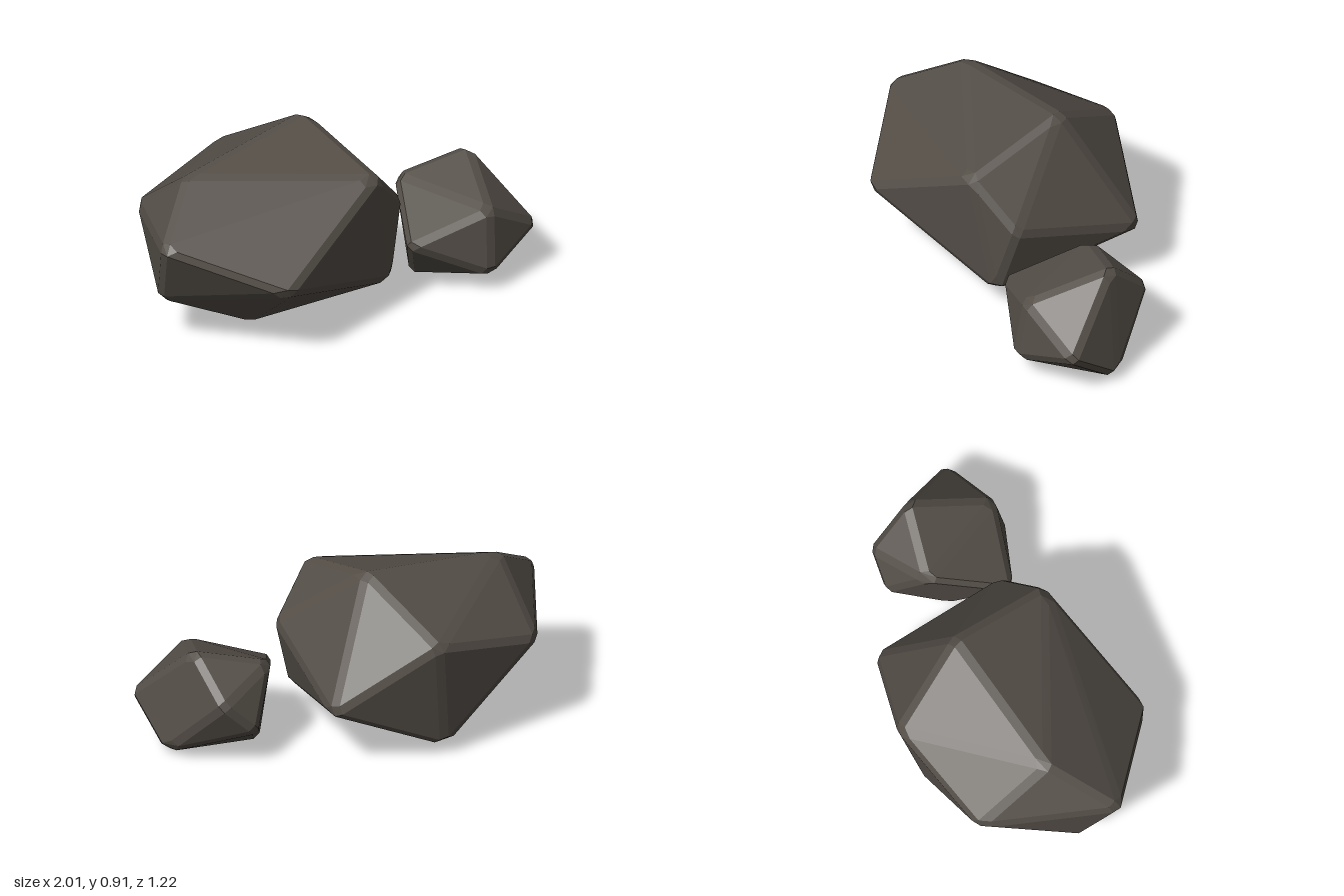
import * as THREE from 'three';
import { ConvexGeometry } from 'three/addons/geometries/ConvexGeometry.js';

const CHAMFER = 0.025;

// Convex rock from its main corners, with every edge and corner cut by a flat chamfer
function rockGeometry(corners) {
  const pts = corners.map((c) => new THREE.Vector3(...c));
  const centre = new THREE.Box3().setFromPoints(pts).getCenter(new THREE.Vector3());
  // push the corners out a little, as the chamfer takes off their tips
  for (const p of pts) p.addScaledVector(p.clone().sub(centre).normalize(), CHAMFER);

  // shrink each face within its own plane; the hull of the shrunk faces has chamfered edges
  const faces = new ConvexGeometry(pts).getAttribute('position');
  const cut = [];
  for (let i = 0; i < faces.count; i += 3) {
    const tri = [0, 1, 2].map((k) => new THREE.Vector3().fromBufferAttribute(faces, i + k));
    for (let k = 0; k < 3; k++) {
      const u = tri[(k + 1) % 3].clone().sub(tri[k]).normalize();
      const v = tri[(k + 2) % 3].clone().sub(tri[k]).normalize();
      const sine = Math.max(u.clone().cross(v).length(), 0.5);
      cut.push(tri[k].clone().addScaledVector(u.add(v), CHAMFER / sine));
    }
  }
  return new ConvexGeometry(cut);
}

export function createModel() {
  const group = new THREE.Group();
  group.name = 'rocks';
  const stone = new THREE.MeshStandardMaterial({ color: 0x544e47 });
  stone.name = 'dark stone';

  const rocks = {
    largeRock: [
      // top ridge
      [0.08, 0.89, -0.15], [-0.66, 0.79, -0.2], [0.05, 0.74, 0.38],
      // middle ring
      [-1, 0.58, -0.02], [-0.62, 0.38, 0.45], [0.29, 0.51, 0.3],
      [0.43, 0.32, -0.36], [-0.03, 0.64, -0.595], [-0.61, 0.51, -0.58],
      // underside
      [-0.87, 0.23, -0.17], [-0.48, 0.055, 0.04], [0.18, 0.14, 0.34], [-0.12, 0.06, -0.51],
    ],
    smallRock: [
      // top
      [0.87, 0.55, 0.2], [0.54, 0.46, 0.05], [0.66, 0.41, 0.55],
      // sides
      [0.3, 0.28, 0.37], [0.99, 0.23, 0.54], [0.86, 0.35, -0.03], [0.7, 0.19, -0.07],
      // underside
      [0.63, 0.1, 0.59], [0.52, 0.005, 0.17], [0.99, 0.03, 0.27],
    ],
  };

  for (const [name, corners] of Object.entries(rocks)) {
    const mesh = new THREE.Mesh(rockGeometry(corners), stone);
    mesh.name = name;
    group.add(mesh);
  }
  return group;
}
